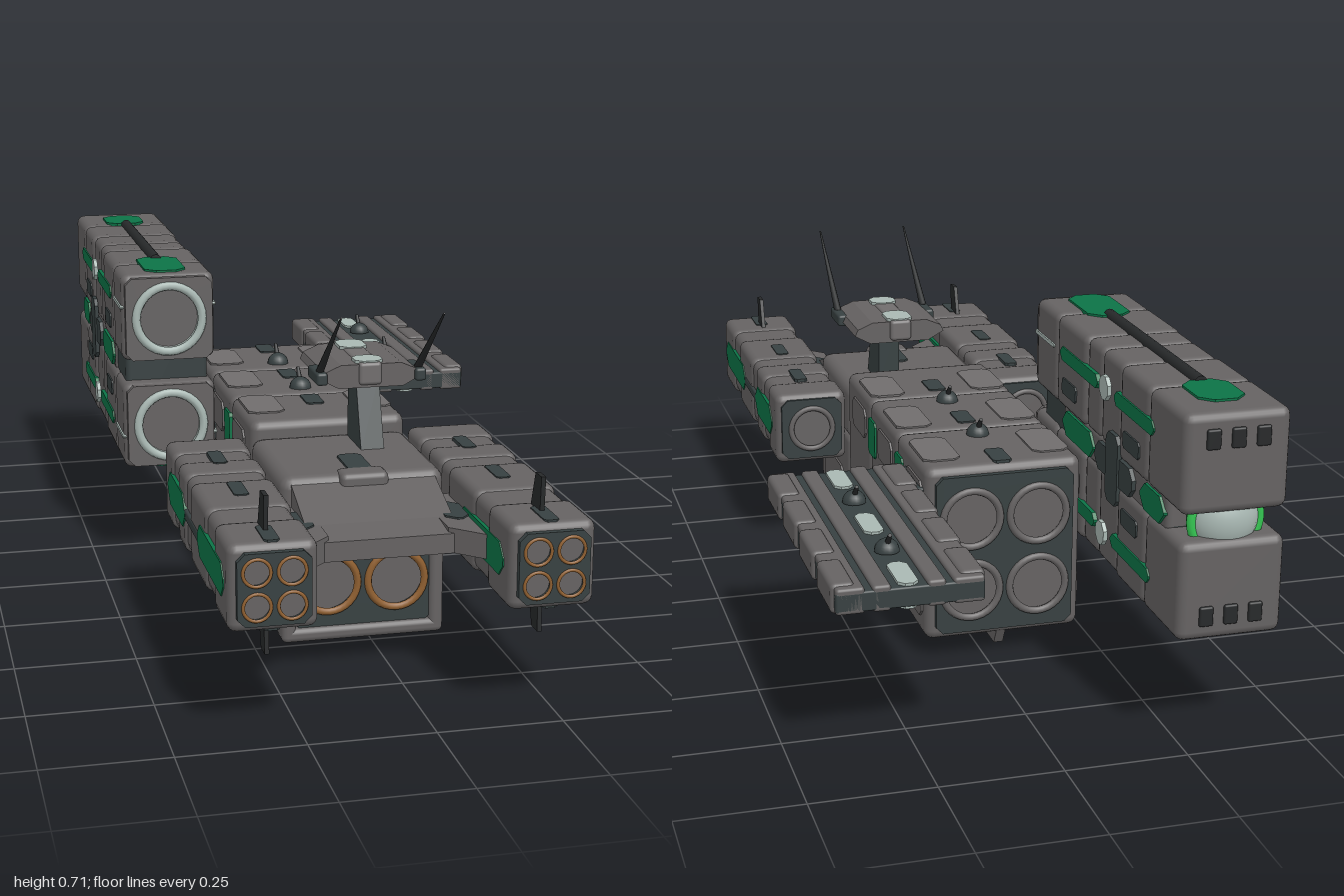
import * as THREE from 'three';
import { RoundedBoxGeometry } from 'three/addons/geometries/RoundedBoxGeometry.js';

const mat = (name, color, side = THREE.FrontSide) => {
  const m = new THREE.MeshStandardMaterial({ color, side });
  m.name = name;
  return m;
};

export function createModel() {
  const root = new THREE.Group();
  root.name = 'gunship';
  const grey = mat('hull grey', 0x656262);
  const light = mat('plate grey', 0x706d6d);
  const dark = mat('dark slate', 0x374041);
  const black = mat('near black', 0x27292a, THREE.DoubleSide);
  const green = mat('panel green', 0x0c7347);
  const pale = mat('pale sensor', 0xa9b8b3, THREE.DoubleSide);
  const bronze = mat('bronze ring', 0x8f5f30);
  const glow = mat('bright green', 0x35c552);

  // ---- helpers ----
  const put = (name, geo, m, x = 0, y = 0, z = 0, parent = root) => {
    const mesh = new THREE.Mesh(geo, m);
    mesh.name = name;
    mesh.position.set(x, y, z);
    parent.add(mesh);
    return mesh;
  };
  // rounded box given by its ranges
  const slab = (name, m, [x0, x1], [y0, y1], [z0, z1], r = 0.004, parent = root) => {
    const w = x1 - x0, h = y1 - y0, d = z1 - z0;
    const rr = Math.min(r, w * 0.45, h * 0.45, d * 0.45);
    return put(name, new RoundedBoxGeometry(w, h, d, 2, rr), m, (x0 + x1) / 2, (y0 + y1) / 2, (z0 + z1) / 2, parent);
  };
  const polygon = pts => new THREE.Shape(pts.map(p => new THREE.Vector2(p[0], p[1])));
  const extrude = (shape, depth) =>
    new THREE.ExtrudeGeometry(shape, { depth, bevelEnabled: false, curveSegments: 24 }).translate(0, 0, -depth / 2);
  // long patch with pointed corners; len along z, on a side wall
  const chamfered = (w, h, c) => polygon([[-w / 2, -h / 2 + c], [-w / 2 + c, -h / 2], [w / 2 - c, -h / 2], [w / 2, -h / 2 + c],
    [w / 2, h / 2 - c], [w / 2 - c, h / 2], [-w / 2 + c, h / 2], [-w / 2, h / 2 - c]]);
  const sidePatch = (name, m, x, y, z, len, h, c = 0.015) =>
    put(name, extrude(chamfered(len, h, c), 0.009).rotateY(Math.PI / 2), m, x, y, z);
  const topPatch = (name, m, x, y, z, w, len, c = 0.015) =>
    put(name, extrude(chamfered(w, len, c), 0.009).rotateX(-Math.PI / 2), m, x, y, z);

  // end plate with round openings, cups and rims; dir = 1 faces +z, -1 faces -z
  const portFace = (name, x, y, z, w, h, holes, r, dir, plateMat, rimMat, cupMat, depth = 0.04) => {
    const g = new THREE.Group();
    g.name = name;
    g.position.set(x, y, z);
    if (dir < 0) g.rotation.y = Math.PI;
    root.add(g);
    const s = chamfered(w, h, 0.015);
    for (const [hx, hy] of holes) {
      const p = new THREE.Path();
      p.absarc(hx, hy, r, 0, Math.PI * 2, true);
      s.holes.push(p);
      const cup = new THREE.LatheGeometry([[0, -depth], [r * 0.5, -depth * 0.92], [r * 0.85, -depth * 0.5], [r, 0]]
        .map(q => new THREE.Vector2(...q)), 28).rotateX(Math.PI / 2);
      put('portCup', cup, cupMat, hx, hy, 0, g);
      put('portRim', new THREE.TorusGeometry(r, r * 0.13, 8, 32), rimMat, hx, hy, 0, g);
    }
    put('portPlate', extrude(s, 0.02), plateMat, 0, 0, -0.01, g);
  };

  // ---- main hull ----
  const hx = -0.042, L = -0.213, R = 0.128;
  slab('hullCore', dark, [L + 0.012, R - 0.012], [0.055, 0.38], [-0.42, 0.54], 0.01);
  slab('hullUpperCore', dark, [L + 0.012, R - 0.012], [0.3, 0.42], [-0.42, 0.25], 0.01);
  slab('hullBow', grey, [L, R], [0.045, 0.27], [0.28, 0.57], 0.02);
  slab('hullUpperBow', grey, [L, R], [0.26, 0.395], [0.27, 0.595], 0.025);
  for (const [a, b] of [[0.05, 0.285], [-0.2, 0.055], [-0.45, -0.195]])
    slab('hullSection', grey, [L, R], [0.045, 0.432], [a, b], 0.02);
  // bow frame and twin launch tubes
  for (const [x, y] of [[[L, R], [0.045, 0.075]], [[L, R], [0.255, 0.285]], [[L, L + 0.03], [0.05, 0.28]], [[R - 0.03, R], [0.05, 0.28]]])
    slab('bowFrame', grey, x, y, [0.54, 0.6], 0.012);
  portFace('bowTubes', hx, 0.165, 0.59, 0.29, 0.19, [[-0.071, 0], [0.071, 0]], 0.06, 1, dark, bronze, grey, 0.025);
  // stern engines
  portFace('sternEngines', hx, 0.238, -0.462, 0.3, 0.35, [[-0.073, -0.08], [0.073, -0.08], [-0.073, 0.08], [0.073, 0.08]],
    0.062, -1, dark, grey, grey, 0.035);
  // side plates and green panels
  for (const s of [-1, 1]) {
    const x = s < 0 ? L : R;
    for (const z of [0.02, -0.23]) sidePatch('upperGreenPanel', green, x, 0.35, z, 0.065, 0.085, 0.008);
    for (const z of [0.27, 0.02, -0.23]) sidePatch('lowerGreenPanel', green, x, 0.132, z, 0.065, 0.085, 0.008);
    for (const z of [0.15, -0.1, -0.36]) {
      sidePatch('sidePlate', grey, x, 0.13, z, 0.13, 0.08);
      sidePatch('sideUpperPlate', grey, x, 0.36, z, 0.13, 0.07);
    }
    sidePatch('sideBowPlate', grey, x, 0.12, 0.44, 0.2, 0.1);
  }
  // deck and keel plates
  for (const z of [0.14, -0.1, -0.33]) for (const s of [-1, 1]) {
    topPatch('deckPlate', light, hx + s * 0.12, 0.431, z, 0.08, 0.15);
    topPatch('keelPlate', light, hx + s * 0.11, 0.046, z, 0.09, 0.15);
  }
  for (const z of [0.12, -0.13, -0.4]) topPatch('deckVent', dark, hx, 0.431, z, 0.04, 0.08, 0.006);
  topPatch('bowVent', dark, hx, 0.395, 0.52, 0.05, 0.13, 0.01);
  slab('bowBrow', grey, [hx - 0.05, hx + 0.05], [0.34, 0.4], [0.55, 0.608], 0.012);
  put('keelFin', extrude(polygon([[0.34, 0.05], [0.36, 0.012], [0.42, 0.012], [0.44, 0.05]]), 0.02).rotateY(Math.PI / 2), grey, hx, 0, 0);

  // small gun domes above and below
  const turret = (x, y, z, up) => {
    const g = new THREE.Group();
    g.name = 'gunTurret';
    g.position.set(x, y, z);
    if (!up) g.rotation.z = Math.PI;
    root.add(g);
    put('turretDome', new THREE.SphereGeometry(0.025, 16, 8, 0, Math.PI * 2, 0, Math.PI / 2), dark, 0, 0, 0, g);
    const barrel = put('turretBarrel', new THREE.CylinderGeometry(0.004, 0.008, 0.05, 8), black, 0, 0.022, -0.01, g);
    barrel.rotation.x = -0.7;
  };
  for (const z of [0.0, -0.25]) turret(hx, 0.432, z, true);
  for (const z of [0.24, 0.0]) turret(hx, 0.045, z, false);

  // ---- bow bridge joining the two pods ----
  put('bowBridge', extrude(polygon([[-0.55, 0.265], [-0.8, 0.285], [-0.8, 0.325], [-0.72, 0.335], [-0.58, 0.385]]), 0.3)
    .rotateY(Math.PI / 2), grey, hx, 0, 0);
  for (const s of [-1, 1]) {
    const flare = extrude(polygon([[s * 0.12, -0.57], [s * 0.2, -0.57], [s * 0.2, -0.87], [s * 0.12, -0.79]]), 0.05).rotateX(-Math.PI / 2);
    put('bridgeFlare', flare, grey, hx, 0.31, 0);
    topPatch('bridgeInset', dark, hx + s * 0.158, 0.334, 0.69, 0.05, 0.11, 0.02);
  }

  // ---- weapon pods ----
  for (const px of [-0.31, 0.225]) {
    slab('podBody', grey, [px - 0.08, px + 0.08], [0.23, 0.39], [0.28, 0.985], 0.02);
    for (const [a, b] of [[0.25, 0.36], [0.42, 0.52], [0.57, 0.76], [0.84, 0.985]])
      slab('podBand', grey, [px - 0.085, px + 0.085], [0.225, 0.395], [a, b], 0.018);
    portFace('podTubes', px, 0.31, 0.997, 0.14, 0.14, [[-0.033, -0.033], [0.033, -0.033], [-0.033, 0.033], [0.033, 0.033]],
      0.026, 1, dark, bronze, dark, 0.018);
    portFace('podExhaust', px, 0.31, 0.244, 0.145, 0.145, [[0, 0]], 0.05, -1, dark, grey, pale, 0.02);
    for (const s of [-1, 1]) {
      sidePatch('podGreenStripe', green, px + s * 0.083, 0.312, 0.41, 0.22, 0.07, 0.03);
      sidePatch('podGreenStripe', green, px + s * 0.083, 0.312, 0.81, 0.28, 0.065, 0.025);
      slab('podSideRod', dark, [px + s * 0.081 - 0.006, px + s * 0.081 + 0.006], [0.3, 0.322], [0.5, 0.7]);
      // tall and hanging fins
      put('podFin', extrude(polygon([[-0.86, s * 0.08], [-0.885, s * 0.155], [-0.92, s * 0.155], [-0.915, s * 0.08]]), 0.009)
        .rotateY(Math.PI / 2), black, px, 0.31, 0);
      for (const z of [0.41, 0.64, 0.93]) topPatch('podVent', dark, px, 0.31 + s * 0.083, z, 0.03, 0.09, 0.006);
    }
  }

  // ---- sensor mast ----
  put('mastNeck', extrude(polygon([[-0.42, 0.39], [-0.3, 0.39], [-0.3, 0.54], [-0.37, 0.54]]), 0.05).rotateY(Math.PI / 2), dark, 0.021, 0, 0);
  const head = new THREE.Shape();
  head.moveTo(-0.107, -0.005);
  for (const [x, y] of [[-0.07, -0.025], [0.07, -0.025], [0.107, -0.005], [0.1, 0.01], [0.065, 0.025], [-0.065, 0.025], [-0.1, 0.01]]) head.lineTo(x, y);
  put('sensorHead', extrude(head, 0.21), grey, 0.022, 0.55, 0.295);
  slab('sensorSpine', light, [-0.005, 0.045], [0.53, 0.579], [0.18, 0.405], 0.008);
  for (const [z, len] of [[0.225, 0.08], [0.37, 0.06]]) topPatch('sensorWindow', pale, 0.02, 0.577, z, 0.06, len, 0.015);
  for (const x of [-0.085, 0.128]) {
    slab('antennaFoot', dark, [x - 0.012, x + 0.012], [0.535, 0.562], [0.32, 0.41], 0.006);
    const rod = put('antenna', new THREE.CylinderGeometry(0.002, 0.009, 0.25, 8), black, x, 0.635, 0.475);
    rod.rotation.x = 0.89;
  }

  // ---- twin-deck cargo block ----
  const cx = -0.328;
  slab('cargoSpine', dark, [cx - 0.095, cx + 0.095], [0.28, 0.65], [-0.9, -0.14], 0.01);
  for (const s of [-1, 1]) {
    const cy = 0.462 + s * 0.127;
    for (const [a, b] of [[-0.25, -0.1], [-0.435, -0.245], [-0.525, -0.43], [-0.645, -0.52], [-0.805, -0.64], [-0.99, -0.8]]) {
      const wide = b - a > 0.14 ? 0.107 : 0.102;
      slab('cargoSection', grey, [cx - wide, cx + wide], [cy - 0.1, cy + 0.1], [a, b], 0.018);
    }
    portFace('cargoLamp', cx, cy - s * 0.002, -0.088, 0.2, 0.19, [[0, 0]], 0.076, 1, grey, pale, pale, 0.03);
    // outer edge strips and end slots
    const ey = cy + s * 0.1;
    for (const z of [-0.86, -0.21]) topPatch('cargoGreenDeck', green, cx, ey, z, 0.095, z < -0.5 ? 0.13 : 0.18, 0.025);
    const rod = put('cargoRod', new THREE.CylinderGeometry(0.013, 0.013, 0.52, 12), black, cx, ey, -0.54);
    rod.rotation.x = Math.PI / 2;
    for (const dx of [-0.05, 0, 0.05]) slab('endSlot', black, [cx + dx - 0.014, cx + dx + 0.014], [cy - 0.02 + s * 0.05, cy + 0.02 + s * 0.05], [-0.996, -0.97]);
    for (const w of [-1, 1]) {
      const x = cx + w * 0.106;
      sidePatch('cargoGreenStripe', green, x, cy + s * 0.025, -0.4, 0.24, 0.03, 0.012);
      sidePatch('cargoGreenStripe', green, x, cy + s * 0.025, -0.73, 0.22, 0.03, 0.012);
      sidePatch('cargoBeacon', pale, x + w * 0.005, cy + s * 0.03, -0.57, 0.05, 0.05, 0.015);
      for (const z of [-0.34, -0.72]) sidePatch('cargoVent', dark, x, cy - s * 0.045, z, 0.09, 0.035, 0.006);
      sidePatch('cargoHandle', pale, x, cy + s * 0.025, -0.17, 0.13, 0.008, 0.003);
    }
  }
  // waist between the decks
  slab('cargoWaist', grey, [cx - 0.1, cx + 0.1], [0.425, 0.5], [-0.9, -0.28], 0.012);
  for (const w of [-1, 1]) {
    for (const [z, len] of [[-0.39, 0.2], [-0.83, 0.13]]) sidePatch('waistGreenStripe', green, cx + w * 0.101, 0.462, z, len, 0.055, 0.025);
    sidePatch('waistHub', dark, cx + w * 0.104, 0.462, -0.62, 0.22, 0.06, 0.02);
    sidePatch('waistHubBar', dark, cx + w * 0.108, 0.462, -0.62, 0.07, 0.15, 0.015);
  }
  const eye = put('sternEye', new THREE.SphereGeometry(0.07, 28, 18), pale, cx, 0.462, -0.93);
  eye.scale.z = 0.8;
  put('sternEyeRim', new THREE.TorusGeometry(0.069, 0.01, 10, 36), glow, cx, 0.462, -0.945);

  // ---- flat side panel ----
  const wz = [-0.93, -0.27];
  slab('panelBase', dark, [0.14, 0.425], [0.342, 0.382], wz, 0.004);
  for (const [a, b, t] of [[0.14, 0.2, 0.39], [0.215, 0.25, 0.39], [0.32, 0.355, 0.39], [0.37, 0.425, 0.39]])
    slab('panelRail', grey, [a, b], [0.338, t], wz, 0.006);
  for (let i = 0; i < 4; i++) {
    const z = -0.85 + i * 0.167;
    for (const [a, b] of [[0.135, 0.185], [0.385, 0.432]]) slab('panelEdge', grey, [a, b], [0.335, 0.395], [z - 0.065, z + 0.065], 0.01);
  }
  for (const z of [-0.87, -0.6, -0.33]) for (const y of [0.383, 0.341])
    topPatch('panelSensor', pale, 0.285, y, z, 0.04, 0.11, 0.012);
  for (const z of [-0.75, -0.47]) turret(0.285, 0.385, z, true);
  slab('panelBracket', dark, [0.1, 0.16], [0.345, 0.385], [-0.43, -0.28], 0.004);
  slab('cargoBracket', dark, [-0.25, -0.19], [0.28, 0.4], [-0.4, -0.15], 0.004);

  return root;
}
